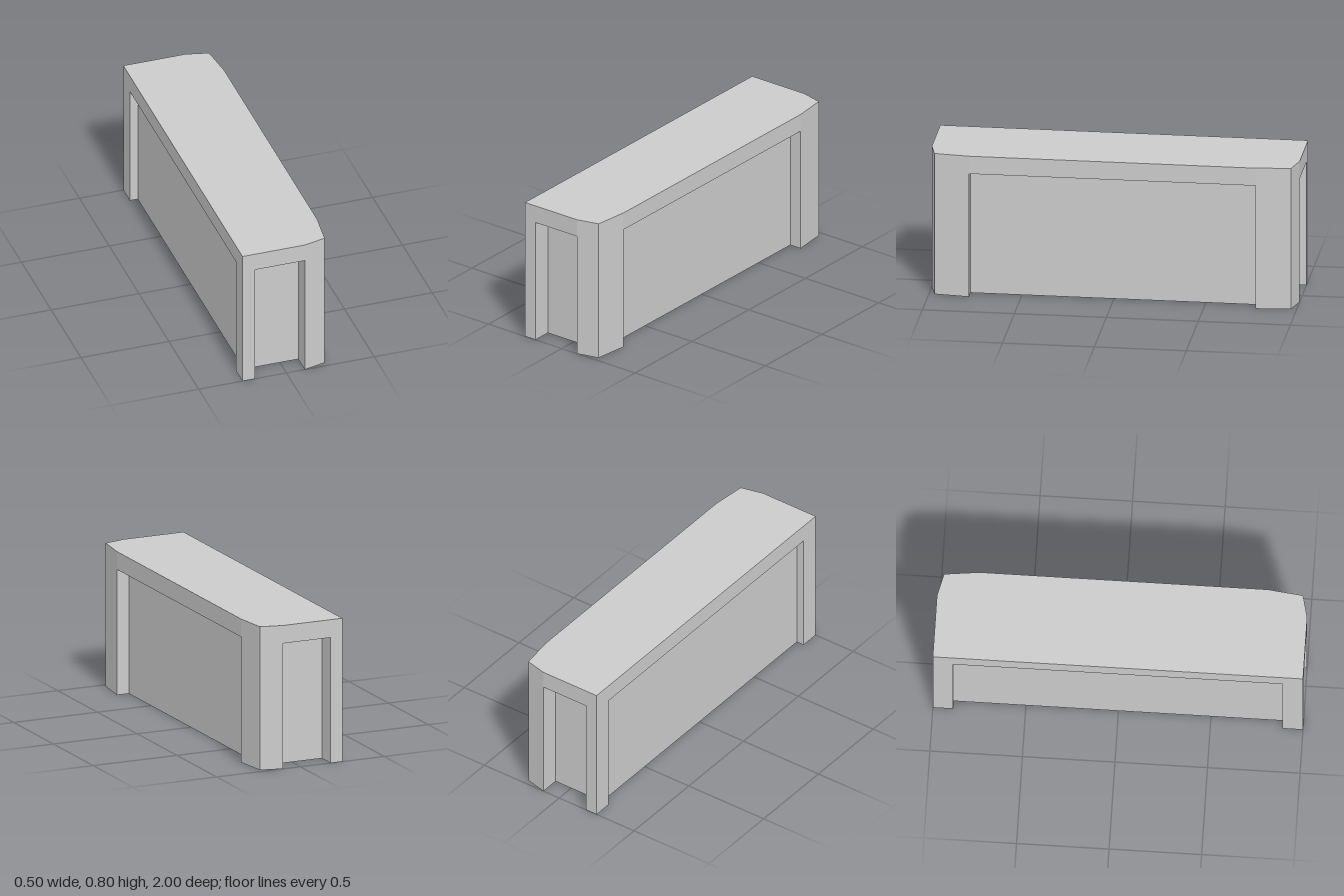
import * as THREE from 'three';

const material = new THREE.MeshStandardMaterial({ color: 0xcccccc, flatShading: true });

// Plan outline for one half (z >= 0), mirrored to the other half, extruded upward
function planBlock(name, half, bottom, height) {
  const mirrored = half.map(([x, z]) => [x, -z]).reverse();
  const points = [...half, ...mirrored].map(([x, z]) => new THREE.Vector2(x, z));
  const geometry = new THREE.ExtrudeGeometry(new THREE.Shape(points), { depth: height, bevelEnabled: false });
  geometry.rotateX(-Math.PI / 2);
  geometry.translate(0, bottom, 0);
  const mesh = new THREE.Mesh(geometry, material);
  mesh.name = name;
  return mesh;
}

export function createModel() {
  const group = new THREE.Group();
  group.name = 'counterBlock';

  // Core with corner posts: recessed panels on both sides and both ends
  group.add(planBlock('recessedBody', [
    [0.18, 0.78], [0.25, 0.78], [0.228, 0.97], [0.105, 1], // faceted post
    [0.105, 0.89], [-0.18, 0.89],                          // end panel
    [-0.18, 1], [-0.25, 1], [-0.25, 0.89], [-0.205, 0.89], // square post
  ], 0, 0.7));

  // Full-outline top slab
  group.add(planBlock('topSlab', [
    [0.25, 0.78], [0.228, 0.97], [0.105, 1], [-0.25, 1],
  ], 0.7, 0.1));

  return group;
}
